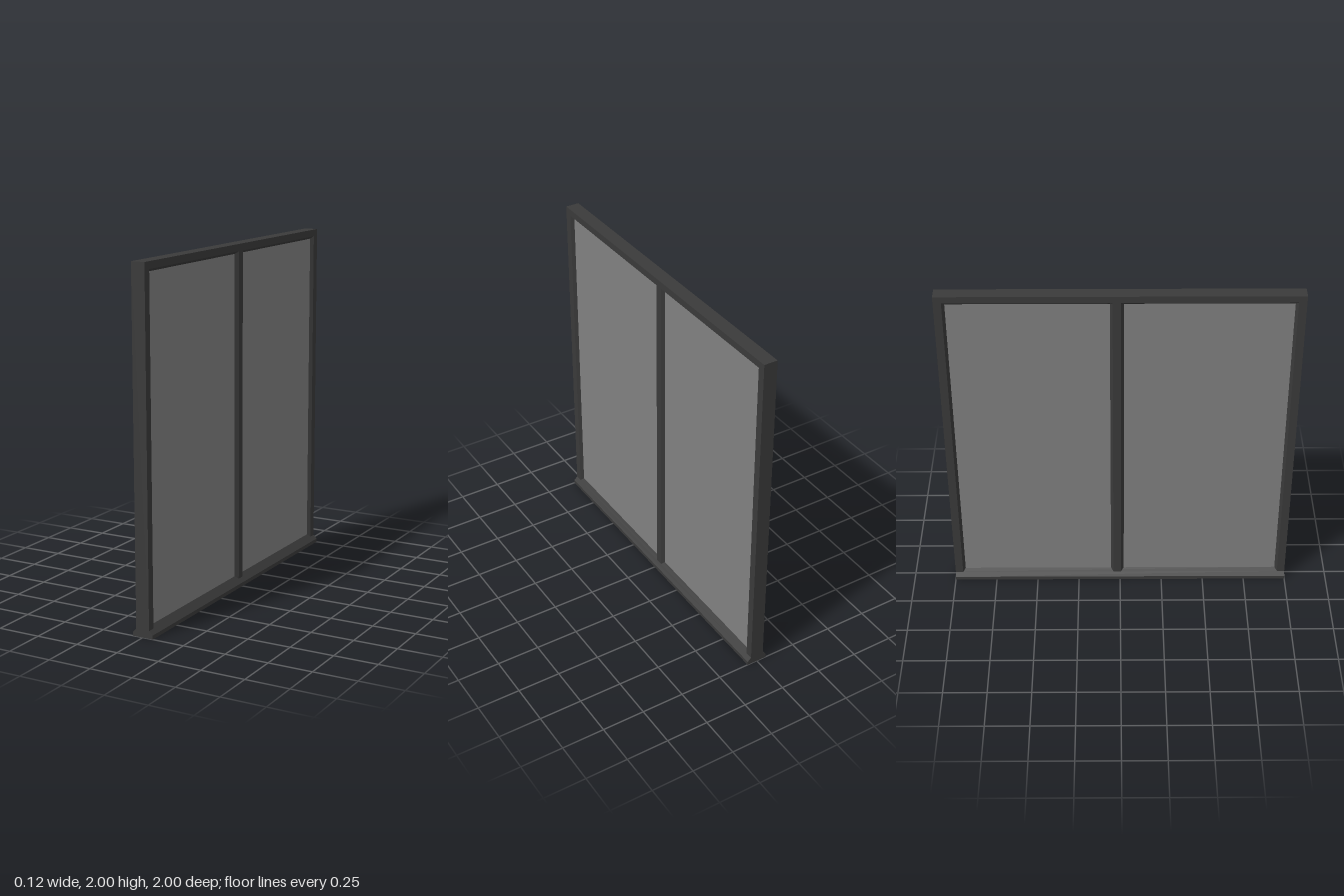
import * as THREE from 'three';

const frameMaterial = new THREE.MeshStandardMaterial({ color: 0x3a3a3a });
const glassMaterial = new THREE.MeshStandardMaterial({ color: 0x808080 });

const FACE = 0.04;   // half depth of the frame
const REVEAL = 0.022; // half depth where the bevels meet the glass

// Extrude a profile that is symmetric in x; side lists [x, v] on the +x half, from low v to high v
function extrudeProfile(side, length) {
  const mirrored = side.map(([x, v]) => [-x, v]).reverse();
  const shape = new THREE.Shape([...side, ...mirrored].map(([x, v]) => new THREE.Vector2(x, v)));
  return new THREE.ExtrudeGeometry(shape, { depth: length, bevelEnabled: false });
}

// Horizontal rail running along z
function rail(name, side) {
  const geometry = extrudeProfile(side, 2);
  geometry.translate(0, 0, -1);
  const mesh = new THREE.Mesh(geometry, frameMaterial);
  mesh.name = name;
  return mesh;
}

// Upright post; the profile's second coordinate becomes z
function post(name, side, bottom, top) {
  const flipped = side.map(([x, z]) => [x, -z]).reverse();
  const geometry = extrudeProfile(flipped, top - bottom);
  geometry.rotateX(-Math.PI / 2);
  geometry.translate(0, bottom, 0);
  const mesh = new THREE.Mesh(geometry, frameMaterial);
  mesh.name = name;
  return mesh;
}

function pane(name, z0, z1) {
  const y0 = 0.05, y1 = 1.955;
  const mesh = new THREE.Mesh(new THREE.BoxGeometry(2 * REVEAL, y1 - y0, z1 - z0), glassMaterial);
  mesh.position.set(0, (y0 + y1) / 2, (z0 + z1) / 2);
  mesh.name = name;
  return mesh;
}

export function createModel() {
  const group = new THREE.Group();
  group.name = 'window';

  // Header and flared sill, bevelled toward the glass
  group.add(rail('header', [[REVEAL, 1.945], [FACE, 1.96], [FACE, 2]]));
  group.add(rail('sill', [[0.062, 0], [0.062, 0.022], [FACE, 0.043], [REVEAL, 0.06]]));

  // Outer jambs
  group.add(post('frontJamb', [[REVEAL, 0.94], [FACE, 0.955], [FACE, 1]], 0.03, 2));
  group.add(post('backJamb', [[FACE, -1], [FACE, -0.955], [REVEAL, -0.94]], 0.03, 2));

  // Dividing post, slightly off centre
  group.add(post('mullion',
    [[REVEAL, -0.055], [FACE, -0.04], [FACE, 0.005], [REVEAL, 0.022]], 0.043, 1.96));

  // Glass
  group.add(pane('frontGlass', 0.01, 0.95));
  group.add(pane('backGlass', -0.95, -0.045));

  return group;
}
